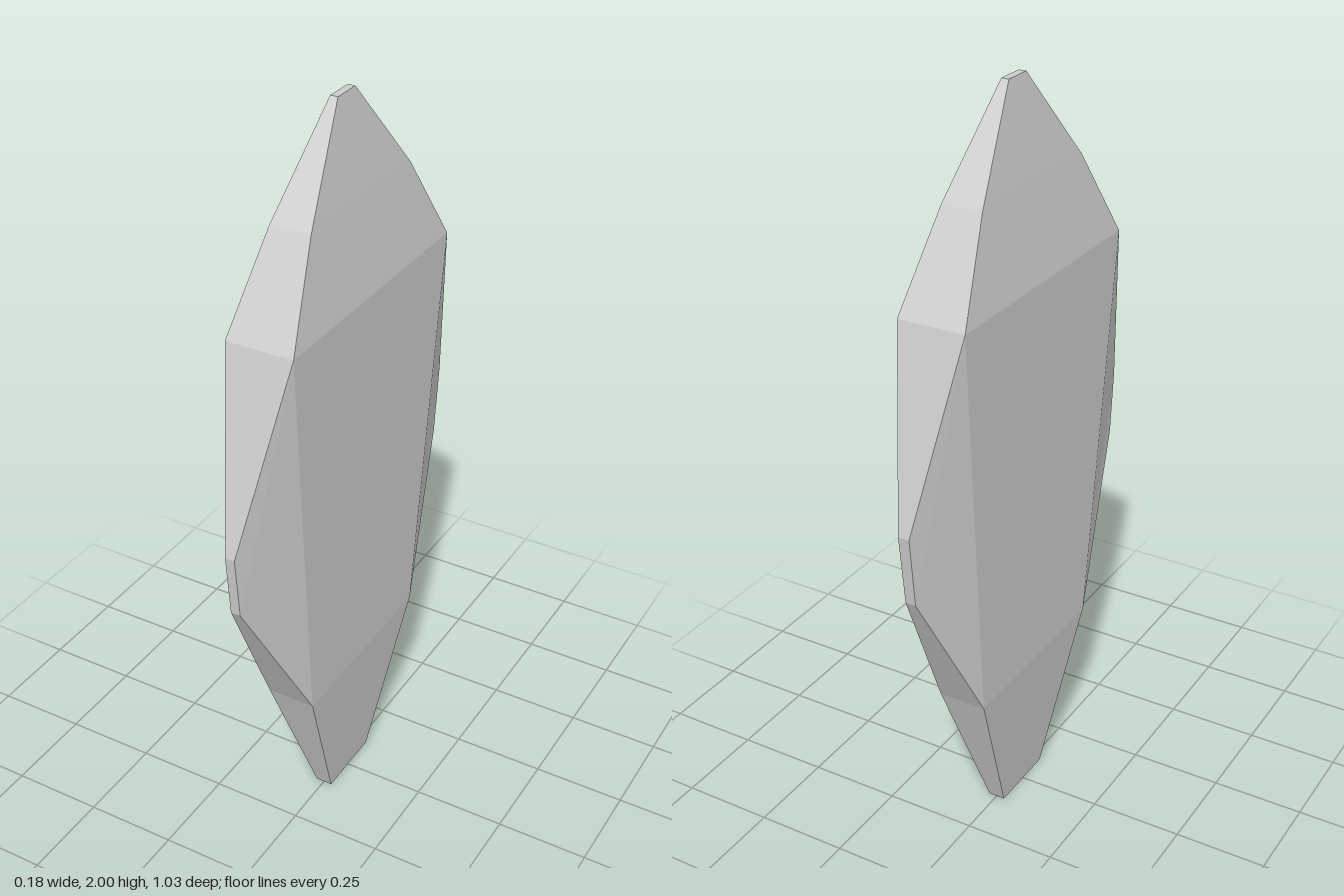
import * as THREE from 'three';

// Outline seen from the +x side, counterclockwise: [z, y, half thickness]
const OUTLINE = [
  [0.03, 2, 0.01], [0.225, 1.755, 0.054], [0.365, 1.52, 0.09], [0.515, 1.04, 0.013],
  [0.5, 0.87, 0.013], [0.26, 0.43, 0.065], [0.095, 0, 0.023],
  [-0.105, 0, 0.023], [-0.275, 0.43, 0.065], [-0.495, 0.85, 0.014],
  [-0.515, 1.04, 0.015], [-0.378, 1.52, 0.09], [-0.24, 1.755, 0.054], [-0.048, 2, 0.01],
];

// Facets of one broad side, as outline indices: tip, shoulder, centre, foot and two wings
const PANELS = [
  [0, 1, 12, 13], [1, 2, 11, 12], [2, 5, 8, 11], [5, 6, 7, 8],
  [2, 3, 4, 5], [8, 9, 10, 11],
];

const corner = (i, side) => {
  const [z, y, x] = OUTLINE[i % OUTLINE.length];
  return [side * x, y, z];
};

export function createModel() {
  const positions = [];
  const quad = (a, b, c, d) => positions.push(...a, ...b, ...c, ...a, ...c, ...d);

  // Broad faces, mirrored with reversed corner order
  for (const panel of PANELS) {
    quad(...panel.map((i) => corner(i, 1)));
    quad(...panel.map((i) => corner(i, -1)).reverse());
  }

  // Narrow bevelled rim joining the two sides
  for (let i = 0; i < OUTLINE.length; i++) {
    quad(corner(i, 1), corner(i, -1), corner(i + 1, -1), corner(i + 1, 1));
  }

  const geometry = new THREE.BufferGeometry();
  geometry.setAttribute('position', new THREE.Float32BufferAttribute(positions, 3));
  geometry.computeVertexNormals();

  const shard = new THREE.Mesh(
    geometry,
    new THREE.MeshStandardMaterial({ color: 0xcccccc, flatShading: true }),
  );
  shard.name = 'crystalShard';

  const group = new THREE.Group();
  group.name = 'crystal';
  group.add(shard);
  return group;
}
